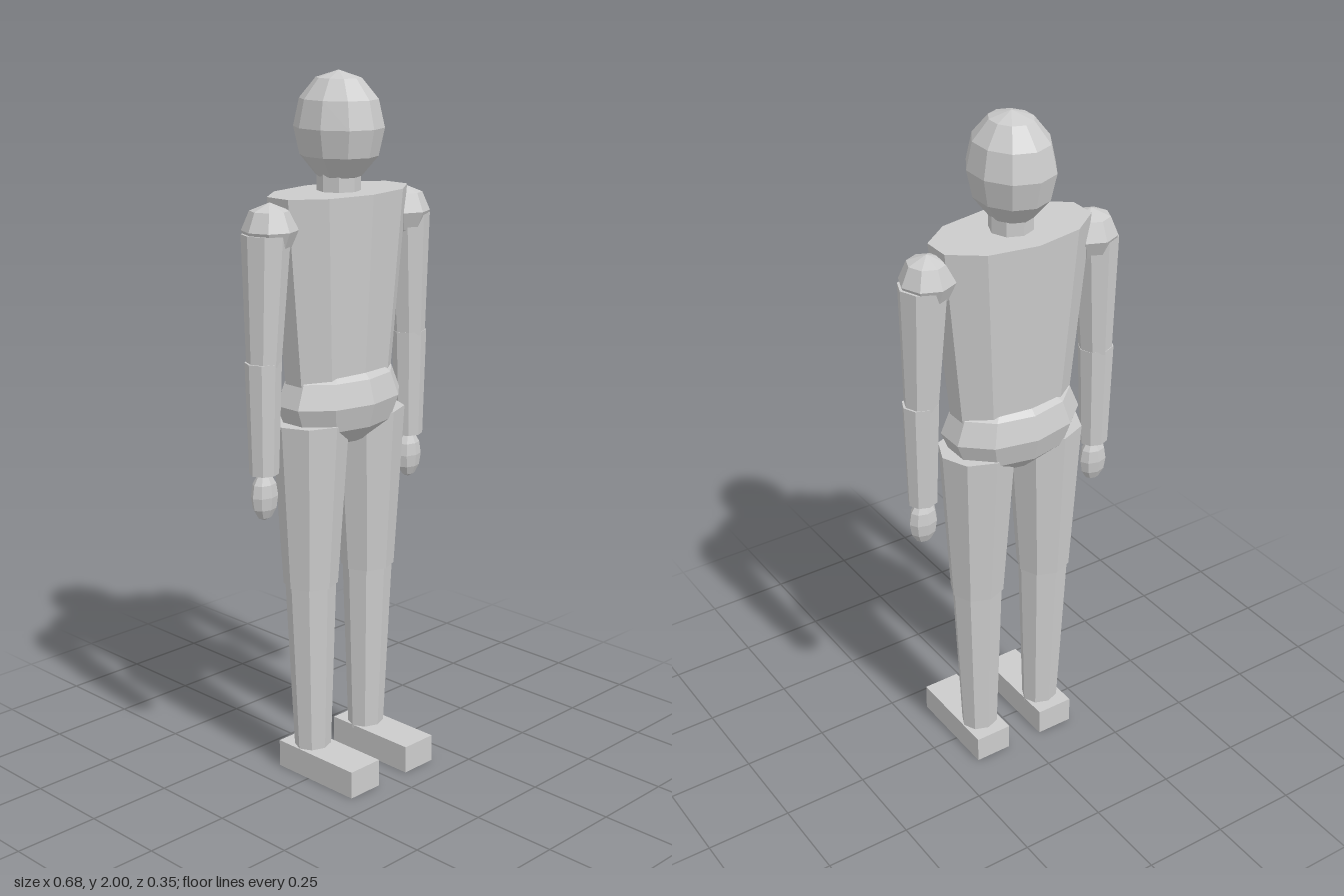
import * as THREE from 'three';

const material = new THREE.MeshStandardMaterial({ color: 0xcccccc, flatShading: true });
const Z = -0.04; // body axis, set back over the feet

function add(parent, name, geometry, x, y, z = Z) {
  const mesh = new THREE.Mesh(geometry, material);
  mesh.name = name;
  mesh.position.set(x, y, z);
  parent.add(mesh);
  return mesh;
}

// Faceted ellipsoid with corners on the front and back
function ball(rx, ry, rz, sides, rows) {
  return new THREE.SphereGeometry(1, sides, rows).rotateY(Math.PI / 2).scale(rx, ry, rz);
}

// Tapered eight-sided limb between two points of the side plane
function limb(parent, name, [x0, y0, r0], [x1, y1, r1], depth) {
  const top = new THREE.Vector3(x0, y0, 0);
  const axis = top.clone().sub(new THREE.Vector3(x1, y1, 0));
  const geometry = new THREE.CylinderGeometry(r0, r1, axis.length(), 8).scale(1, 1, depth);
  const mesh = add(parent, name, geometry, (x0 + x1) / 2, (y0 + y1) / 2);
  mesh.quaternion.setFromUnitVectors(new THREE.Vector3(0, 1, 0), axis.normalize());
}

export function createModel() {
  const model = new THREE.Group();
  model.name = 'figure';

  // Head and trunk
  add(model, 'head', ball(0.115, 0.15, 0.132, 10, 6), 0, 1.85);
  add(model, 'neck', new THREE.CylinderGeometry(0.06, 0.06, 0.12, 8), 0, 1.7);
  const torso = new THREE.CylinderGeometry(1, 0.76, 0.54, 10).scale(0.24, 1, 0.131);
  add(model, 'torso', torso, 0, 1.41);
  add(model, 'pelvis', ball(0.21, 0.135, 0.137, 10, 6), 0, 1.105);

  // Limbs, mirrored left and right
  for (const s of [1, -1]) {
    const side = s > 0 ? 'left' : 'right';
    const arm = new THREE.Group();
    arm.name = side + 'Arm';
    add(arm, 'shoulder', ball(0.076, 0.073, 0.076, 8, 4), s * 0.256, 1.6);
    limb(arm, 'upperArm', [s * 0.271, 1.59, 0.066], [s * 0.284, 1.24, 0.047], 1);
    limb(arm, 'forearm', [s * 0.286, 1.25, 0.052], [s * 0.288, 0.94, 0.042], 0.92);
    add(arm, 'hand', ball(0.043, 0.07, 0.031, 8, 6), s * 0.288, 0.877);

    const leg = new THREE.Group();
    leg.name = side + 'Leg';
    limb(leg, 'thigh', [s * 0.112, 1.055, 0.11], [s * 0.115, 0.58, 0.079], 0.95);
    limb(leg, 'shin', [s * 0.115, 0.59, 0.076], [s * 0.11, 0.07, 0.055], 0.9);
    add(leg, 'foot', new THREE.BoxGeometry(0.112, 0.08, 0.295), s * 0.112, 0.04, 0.027);
    model.add(arm, leg);
  }
  return model;
}
